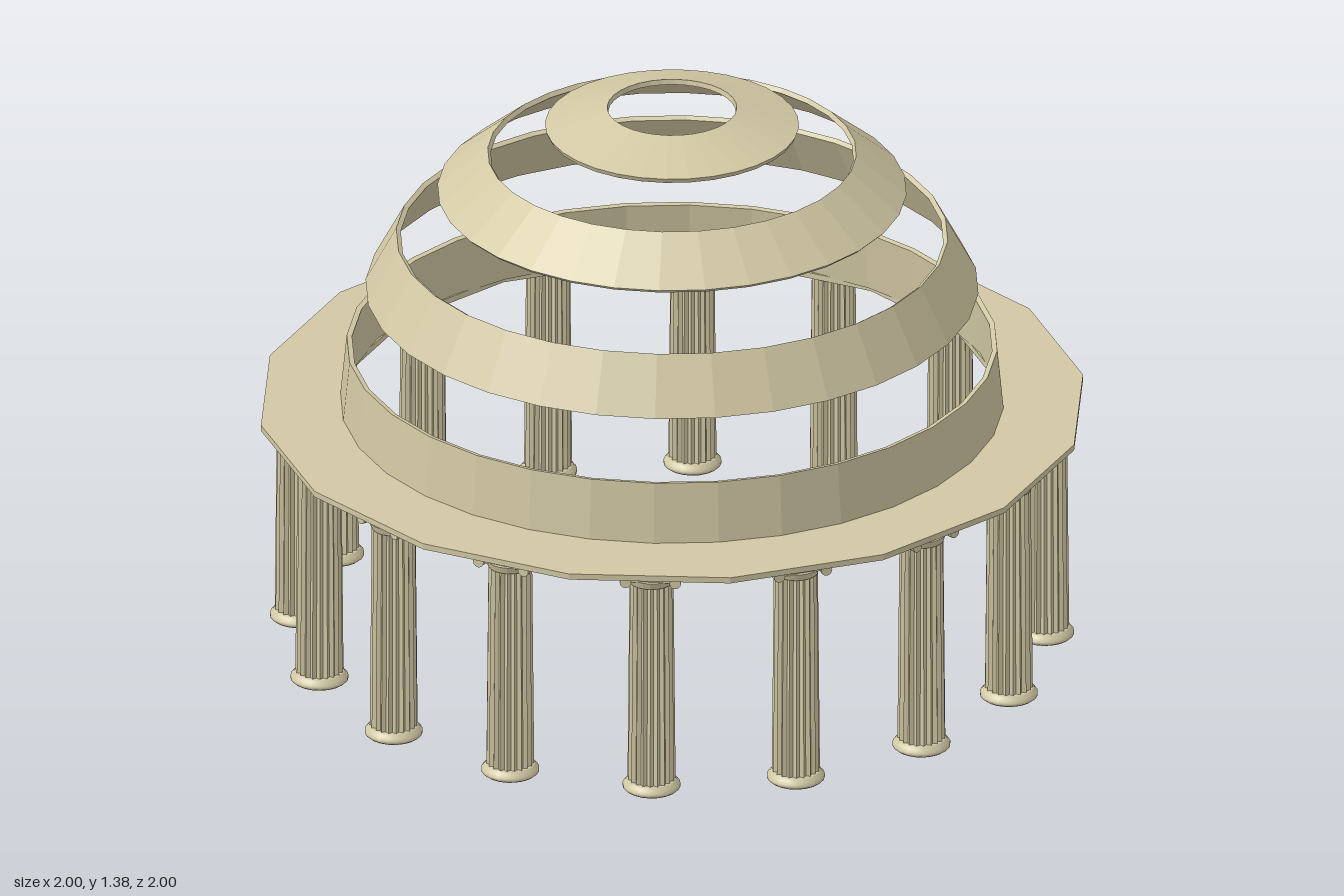
import * as THREE from 'three';

const stone = new THREE.MeshStandardMaterial({ color: 0xd2c8a4, flatShading: true });
const smoothStone = new THREE.MeshStandardMaterial({ color: 0xd2c8a4 });

const COLUMNS = 16;
const DOME_RADIUS = 0.8;
const DOME_BASE = 0.6;
const SHELL = 0.013;

function addMesh(parent, name, geometry, x = 0, y = 0, z = 0, material = stone) {
  const mesh = new THREE.Mesh(geometry, material);
  mesh.name = name;
  mesh.position.set(x, y, z);
  parent.add(mesh);
  return mesh;
}

function polygon(Type, radius, sides) {
  const points = [];
  for (let i = 0; i < sides; i++) {
    const a = (i / sides) * Math.PI * 2;
    points.push(new THREE.Vector2(Math.cos(a) * radius, Math.sin(a) * radius));
  }
  return new Type(points);
}

// Tapered shaft whose alternate edges are pulled in to make flutes
function flutedShaft(top, bottom, height, flutes) {
  const geometry = new THREE.CylinderGeometry(top, bottom, height, flutes * 2, 1, true);
  const p = geometry.attributes.position;
  for (let i = 0; i < p.count; i++) {
    const column = i % (flutes * 2 + 1);
    const k = column % 2 ? 0.87 : 1;
    p.setXYZ(i, p.getX(i) * k, p.getY(i), p.getZ(i) * k);
  }
  geometry.computeVertexNormals();
  return geometry;
}

// Band of a thin spherical shell between two elevations (degrees)
function domeBand(from, to) {
  const at = (r, deg) => {
    const e = THREE.MathUtils.degToRad(deg);
    return new THREE.Vector2(r * Math.cos(e), DOME_BASE + r * Math.sin(e));
  };
  const inner = DOME_RADIUS - SHELL;
  return new THREE.LatheGeometry([
    at(inner, from), at(DOME_RADIUS, from), at(DOME_RADIUS, to), at(inner, to), at(inner, from),
  ], 32);
}

const shaftGeometry = flutedShaft(0.053, 0.058, 0.54, 20);
const baseGeometry = new THREE.LatheGeometry([
  [0, 0], [0.064, 0], [0.07, 0.005], [0.07, 0.012], [0.064, 0.018], [0.061, 0.023], [0.057, 0.027], [0, 0.027],
].map(([x, y]) => new THREE.Vector2(x, y)), 20);
const neckGeometry = new THREE.CylinderGeometry(0.06, 0.054, 0.018, 20);
const scrollGeometry = new THREE.CylinderGeometry(0.014, 0.014, 0.108, 12).rotateX(Math.PI / 2);
const cushionGeometry = new THREE.BoxGeometry(0.13, 0.014, 0.1);
const abacusGeometry = new THREE.BoxGeometry(0.136, 0.011, 0.118);

// Column with its scrolls lying along the ring
function makeColumn() {
  const column = new THREE.Group();
  column.name = 'column';
  addMesh(column, 'columnBase', baseGeometry, 0, 0, 0, smoothStone);
  addMesh(column, 'columnShaft', shaftGeometry, 0, 0.295, 0);
  addMesh(column, 'columnNeck', neckGeometry, 0, 0.562, 0);
  addMesh(column, 'capitalCushion', cushionGeometry, 0, 0.576, 0);
  for (const side of [-1, 1]) addMesh(column, 'capitalScroll', scrollGeometry, side * 0.06, 0.57, 0);
  addMesh(column, 'capitalAbacus', abacusGeometry, 0, 0.584, 0);
  return column;
}

export function createModel() {
  const model = new THREE.Group();
  model.name = 'domedRotunda';

  // Ring of columns, centred under the sides of the slab
  for (let i = 0; i < COLUMNS; i++) {
    const a = ((i + 0.5) / COLUMNS) * Math.PI * 2;
    const column = makeColumn();
    column.position.set(Math.sin(a) * 0.9, 0, Math.cos(a) * 0.9);
    column.rotation.y = a;
    model.add(column);
  }

  // Flat polygonal slab with an open middle
  const slabShape = polygon(THREE.Shape, 1, COLUMNS);
  slabShape.holes.push(polygon(THREE.Path, 0.797, COLUMNS));
  const slab = new THREE.ExtrudeGeometry(slabShape, { depth: 0.015, bevelEnabled: false });
  slab.rotateX(-Math.PI / 2);
  addMesh(model, 'slab', slab, 0, 0.588, 0);

  // Every second band of the dome is left open
  for (let i = 0; i < 4; i++) {
    addMesh(model, 'domeBand', domeBand(i * 22.5, i * 22.5 + 11.25));
  }
  return model;
}
